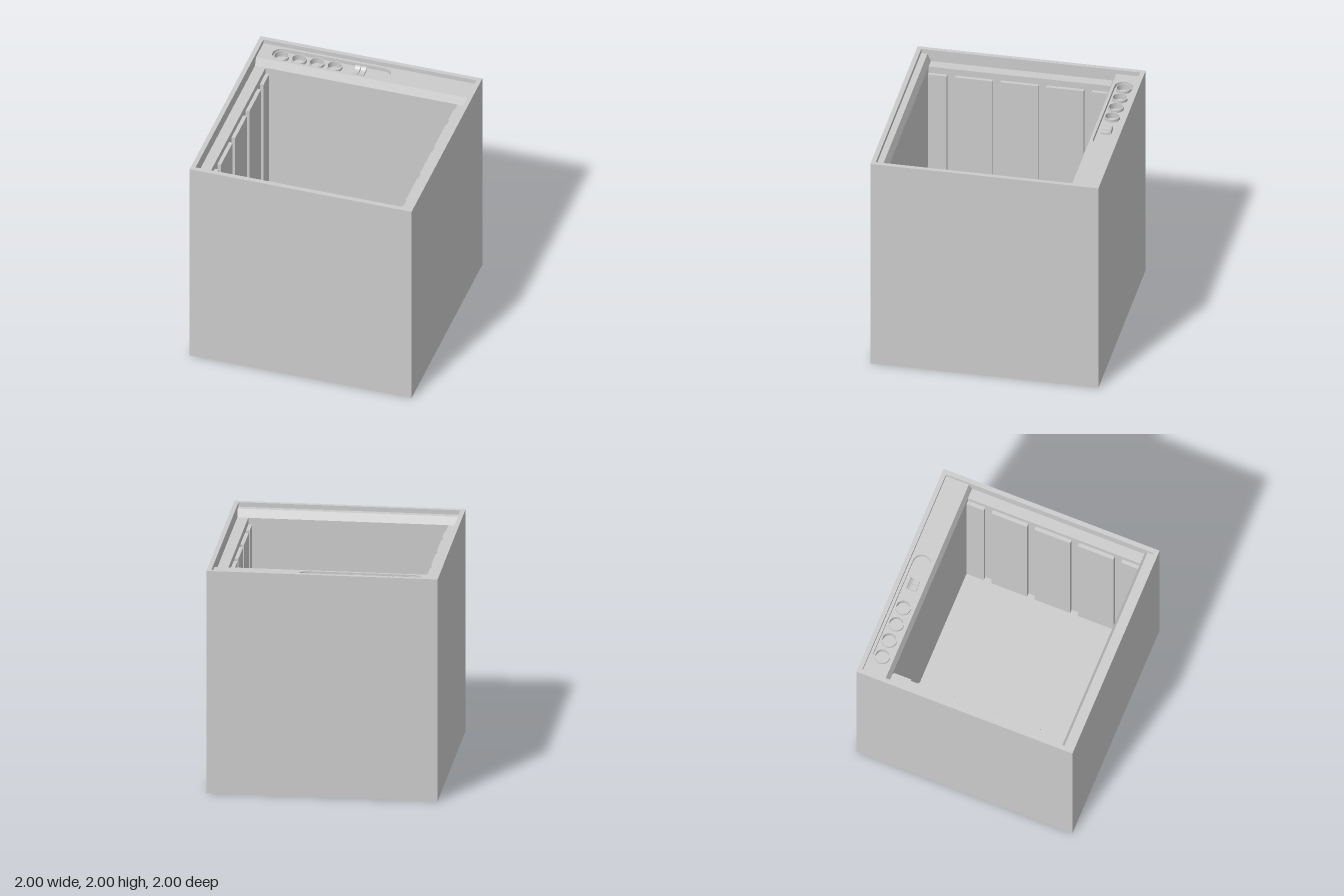
import * as THREE from 'three';

const RIM = 0.96, LEDGE = 1.89, BAR_TOP = 1.96, RECESS = 1.925;
const BACK = -0.72, FRONT = 0.875, SIDE = 0.865, FLOOR = 0.08;
const BAR_Z = -0.855;
const CUP_X = [-0.765, -0.605, -0.445, -0.285];

const material = new THREE.MeshStandardMaterial({ color: 0xcccccc });

function add(parent, name, geometry) {
  const mesh = new THREE.Mesh(geometry, material);
  mesh.name = name;
  parent.add(mesh);
  return mesh;
}

// Box given by its limits on each axis
function boxBetween(x0, x1, y0, y1, z0, z1) {
  return new THREE.BoxGeometry(x1 - x0, y1 - y0, z1 - z0)
    .translate((x0 + x1) / 2, (y0 + y1) / 2, (z0 + z1) / 2);
}

// Continuous skin through rectangular rings [half width, back z, front z, y]
function ringedShell(rings) {
  const pos = [];
  const corners = rings.map(([x, z0, z1, y]) =>
    [[-x, y, z1], [x, y, z1], [x, y, z0], [-x, y, z0]]);
  const quad = (a, b, c, d) => pos.push(...a, ...b, ...c, ...a, ...c, ...d);
  const first = corners[0], last = corners[corners.length - 1];
  quad(first[3], first[2], first[1], first[0]);
  for (let i = 0; i < corners.length - 1; i++) {
    for (let k = 0; k < 4; k++) {
      const n = (k + 1) % 4;
      quad(corners[i][k], corners[i][n], corners[i + 1][n], corners[i + 1][k]);
    }
  }
  quad(...last);
  const g = new THREE.BufferGeometry();
  g.setAttribute('position', new THREE.Float32BufferAttribute(pos, 3));
  g.computeVertexNormals();
  return g;
}

// Flat plan shape (x, -z) raised from y0 to y1
function slab(shape, y0, y1) {
  return new THREE.ExtrudeGeometry(shape, { depth: y1 - y0, bevelEnabled: false, curveSegments: 32 })
    .rotateX(-Math.PI / 2).translate(0, y0, 0);
}

// Side profile of [z, y] points swept along x
function sweepX(points, width, centerX = 0) {
  const shape = new THREE.Shape(points.map(([z, y]) => new THREE.Vector2(z, y)));
  return new THREE.ExtrudeGeometry(shape, { depth: width, bevelEnabled: false })
    .translate(0, 0, -width / 2).rotateY(-Math.PI / 2).translate(centerX, 0, 0);
}

function barPlan() {
  return new THREE.Shape([[-RIM, 0.75], [RIM, 0.75], [RIM, RIM], [-RIM, RIM]]
    .map(([x, y]) => new THREE.Vector2(x, y)));
}

export function createModel() {
  const model = new THREE.Group();
  model.name = 'openTopBin';

  // Outer box, thin rim, side ledges and deep cavity
  add(model, 'body', ringedShell([
    [1, -1, 1, 0], [1, -1, 1, 2],
    [RIM, -RIM, RIM, 2], [RIM, -RIM, RIM, LEDGE],
    [SIDE, BACK, FRONT, LEDGE], [SIDE, BACK, FRONT, FLOOR],
  ]));

  // Raised panels on both side walls
  const panels = new THREE.Group();
  panels.name = 'sidePanels';
  model.add(panels);
  const spans = [[BACK, -0.56], [-0.49, -0.16], [-0.09, 0.24], [0.31, 0.64], [0.71, FRONT]];
  for (const [z0, z1] of spans) {
    add(panels, 'rightPanel', boxBetween(-SIDE, -0.832, FLOOR, 1.83, z0, z1));
    add(panels, 'leftPanel', boxBetween(0.832, SIDE, FLOOR, 1.83, z0, z1));
  }

  // Front trim with its sloped inner edge
  add(model, 'frontTrim', sweepX(
    [[RIM, LEDGE], [RIM, BAR_TOP], [0.905, BAR_TOP], [FRONT, LEDGE]], 2 * RIM));

  // Back bar: base with cup holes, top plate with a rounded slot, sloped edge
  const bar = new THREE.Group();
  bar.name = 'controlBar';
  model.add(bar);

  const base = barPlan();
  for (const x of CUP_X) {
    base.holes.push(new THREE.Path().absarc(x, -BAR_Z, 0.062, 0, Math.PI * 2, true));
  }
  add(bar, 'barBase', slab(base, LEDGE, RECESS));

  const plate = barPlan();
  const slot = new THREE.Path();
  slot.absarc(-0.765, -BAR_Z, 0.08, Math.PI / 2, Math.PI * 1.5, false);
  slot.absarc(0.14, -BAR_Z, 0.08, -Math.PI / 2, Math.PI / 2, false);
  slot.closePath();
  plate.holes.push(slot);
  add(bar, 'barTop', slab(plate, RECESS, BAR_TOP));
  add(bar, 'barSlope', sweepX([[-0.75, LEDGE], [BACK, LEDGE], [-0.75, BAR_TOP]], 2 * RIM));

  // Round cups with raised lips
  const lip = [[0.067, RECESS], [0.067, 1.95], [0.059, 1.95], [0.059, 1.895], [0, 1.895]];
  const profile = [];
  lip.forEach(([r, y], i) => {
    // repeated points keep the lip edges sharp
    profile.push(new THREE.Vector2(r, y));
    if (i > 0 && i < lip.length - 1) profile.push(new THREE.Vector2(r, y));
  });
  for (const x of CUP_X) {
    const cup = add(bar, 'cup', new THREE.LatheGeometry(profile, 40));
    cup.position.set(x, 0, BAR_Z);
  }

  // Pair of rocker switches, high at the back and dipping to the front
  for (const x of [-0.087, -0.033]) {
    add(bar, 'rockerSwitch', sweepX([
      [-0.9, RECESS], [-0.81, RECESS], [-0.81, 1.94], [-0.855, 1.94],
      [-0.872, 1.945], [-0.887, 1.957], [-0.893, 1.968], [-0.9, 1.968],
    ], 0.045, x));
  }

  return model;
}
